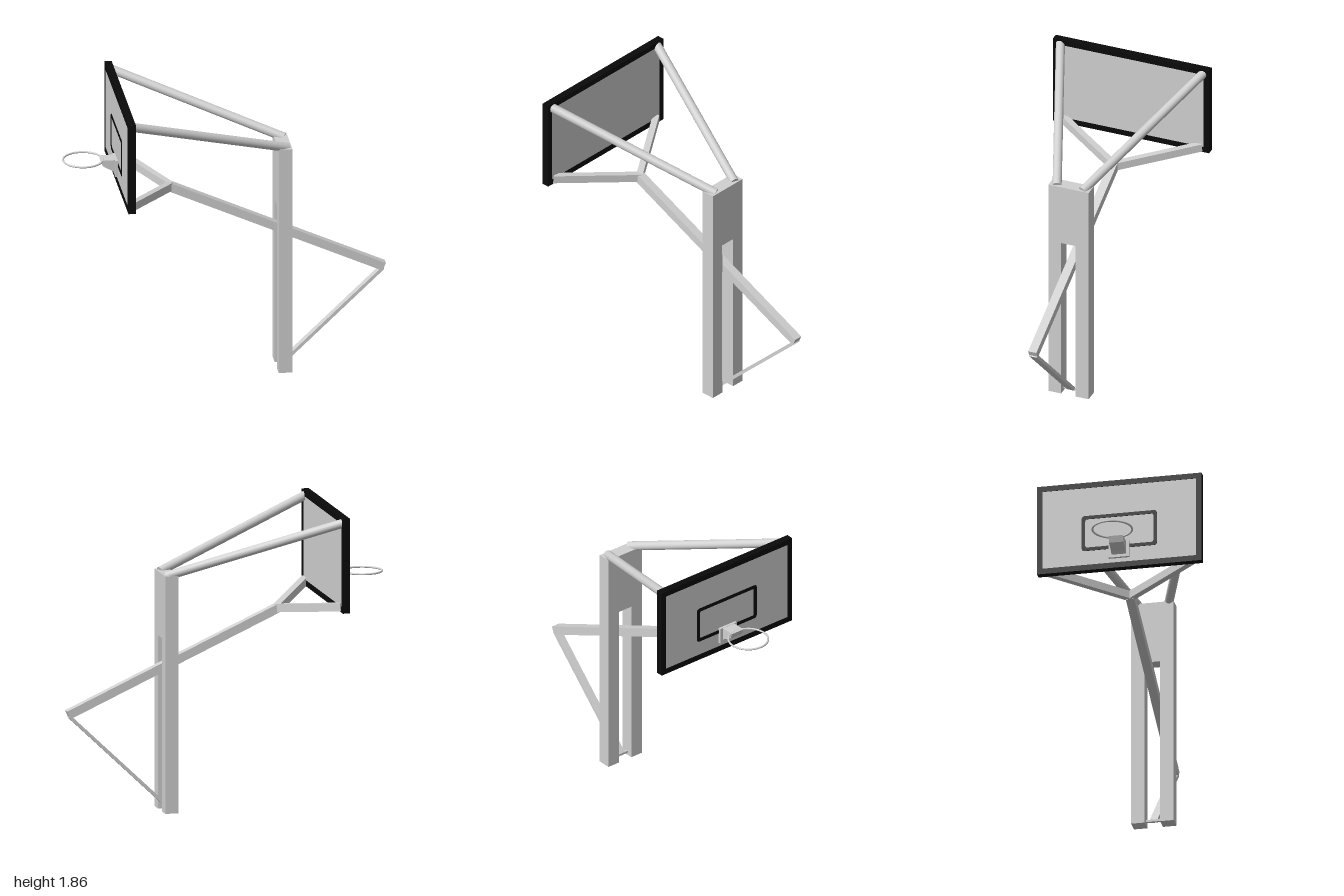
import * as THREE from 'three';

const V = (x, y, z) => new THREE.Vector3(x, y, z);

export function createModel() {
  const root = new THREE.Group();
  root.name = 'basketballHoop';
  const grey = new THREE.MeshStandardMaterial({ color: 0xd0d0d0 });
  grey.name = 'light grey metal';
  const black = new THREE.MeshStandardMaterial({ color: 0x0a0a0a });
  black.name = 'black trim';

  const add = (name, geometry, material) => {
    const mesh = new THREE.Mesh(geometry, material);
    mesh.name = name;
    root.add(mesh);
    return mesh;
  };
  // place a z-aligned bar between two points
  const span = (name, geometry, a, b) => {
    const m = add(name, geometry, grey);
    m.position.copy(a).add(b).multiplyScalar(0.5);
    m.lookAt(b);
    return m;
  };
  const bar = (name, a, b, w, h) => span(name, new THREE.BoxGeometry(w, h, a.distanceTo(b)), a, b);
  const pipe = (name, a, b, r) =>
    span(name, new THREE.CylinderGeometry(r, r, a.distanceTo(b), 24).rotateX(Math.PI / 2), a, b);

  // extrude an outline drawn in the side plane along +x, starting at x
  const slab = (name, shape, x, depth, material) => {
    const g = new THREE.ExtrudeGeometry(shape, { depth, bevelEnabled: false, curveSegments: 6 });
    g.rotateY(Math.PI / 2).translate(x, 0, 0);
    return add(name, g, material);
  };
  const roundRect = (path, hw, y0, y1, r) => {
    path.moveTo(-hw + r, y0);
    path.lineTo(hw - r, y0);
    path.quadraticCurveTo(hw, y0, hw, y0 + r);
    path.lineTo(hw, y1 - r);
    path.quadraticCurveTo(hw, y1, hw - r, y1);
    path.lineTo(-hw + r, y1);
    path.quadraticCurveTo(-hw, y1, -hw, y1 - r);
    path.lineTo(-hw, y0 + r);
    path.quadraticCurveTo(-hw, y0, -hw + r, y0);
    return path;
  };
  const ring = (hw, y0, y1, t, r) => {
    const s = roundRect(new THREE.Shape(), hw, y0, y1, r);
    s.holes.push(roundRect(new THREE.Path(), hw - t, y0 + t, y1 - t, r * 0.6));
    return s;
  };

  // post with an open slot from the ground up
  const post = new THREE.Shape([
    [-0.133, 0], [-0.048, 0], [-0.048, 1.08], [0.048, 1.08],
    [0.048, 0], [0.133, 0], [0.133, 1.48], [-0.133, 1.48],
  ].map(([x, y]) => new THREE.Vector2(x, y)));
  slab('post', post, 0.32, 0.085, grey);

  // lever beam through the slot, and its rear brace
  const fork = V(-0.334, 1.225, 0);
  bar('leverBeam', fork, V(0.987, 0.621, 0), 0.054, 0.053);
  bar('rearBrace', V(0.98, 0.612, 0), V(0.36, 0.022, 0), 0.05, 0.02);
  bar('bracePin', V(0.36, 0.024, -0.05), V(0.36, 0.024, 0.05), 0.014, 0.014);

  // upper pipes and lower fork arms, mirrored
  for (const s of [1, -1]) {
    pipe('upperPipe', V(-0.635, 1.827, s * 0.472), V(0.385, 1.472, s * 0.083), 0.028);
    bar('forkArm', V(-0.63, 1.302, s * 0.46), fork, 0.04, 0.05);
  }

  // backboard
  slab('backboardFrame', ring(0.515, 1.27, 1.86, 0.036, 0.001), -0.665, 0.045, black);
  const panel = add('backboardPanel', new THREE.BoxGeometry(0.041, 0.522, 0.962), grey);
  panel.position.set(-0.6425, 1.565, 0);
  slab('targetRectangle', ring(0.235, 1.4, 1.635, 0.022, 0.02), -0.666, 0.004, black);

  // rim mount
  const plate = add('rimPlate', new THREE.BoxGeometry(0.016, 0.105, 0.13), grey);
  plate.position.set(-0.673, 1.385, 0);
  const arm = new THREE.Shape([
    [-0.77, 1.436], [-0.67, 1.436], [-0.67, 1.34], [-0.695, 1.365], [-0.755, 1.398],
  ].map(([x, y]) => new THREE.Vector2(x, y)));
  const armGeometry = new THREE.ExtrudeGeometry(arm, { depth: 0.09, bevelEnabled: false });
  add('rimArm', armGeometry.translate(0, 0, -0.045), grey);

  // rim
  const rim = add('rim', new THREE.TorusGeometry(0.122, 0.006, 10, 48).rotateX(Math.PI / 2), grey);
  rim.position.set(-0.872, 1.432, 0);

  return root;
}
